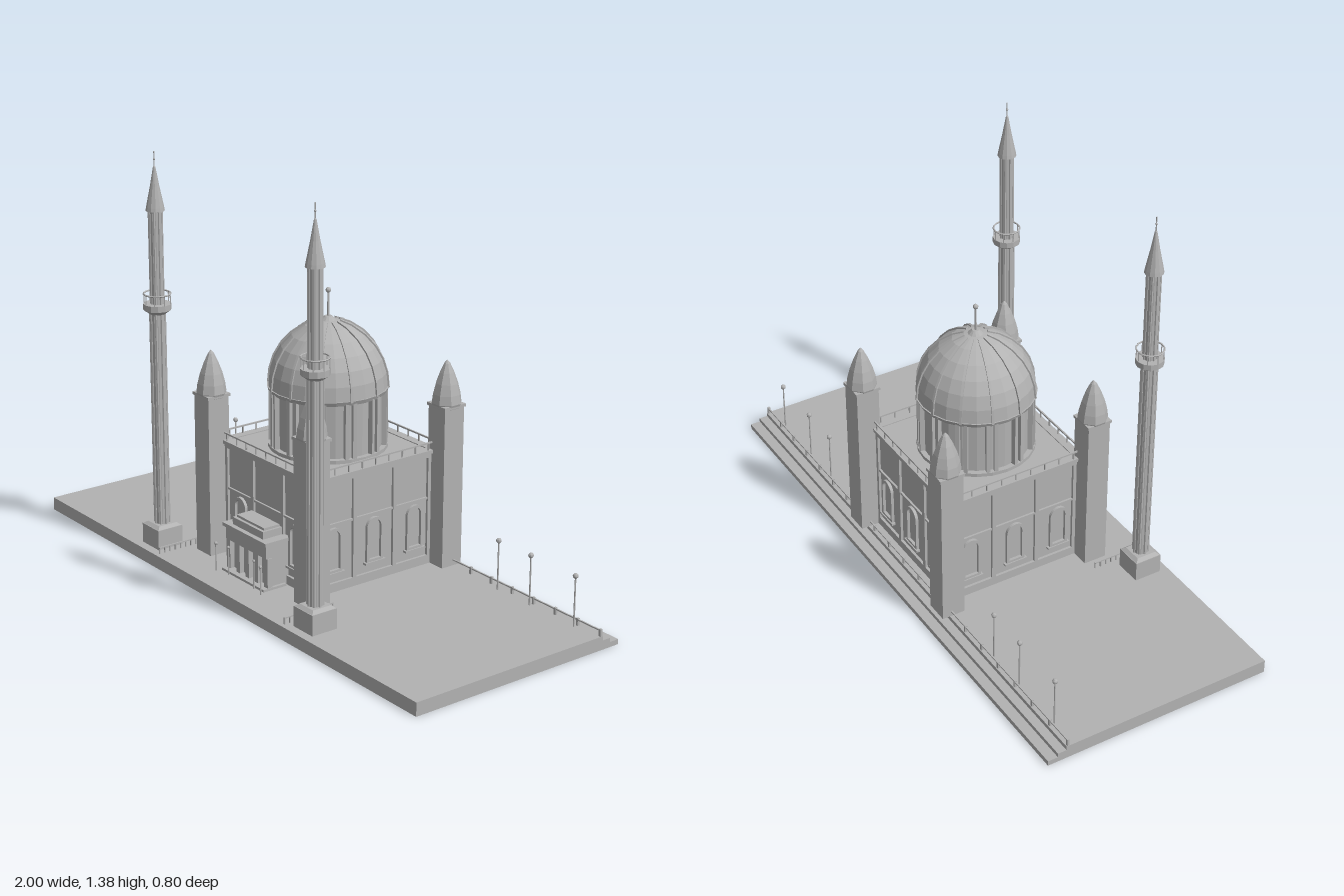
import * as THREE from 'three';

const stone = new THREE.MeshStandardMaterial({ color: 0xb2b2b2, flatShading: true });
stone.name = 'grey stone';

const BASE = 0.045;      // terrace height
const CENTRE_Z = -0.05;  // centre of the prayer hall

function add(parent, name, geometry, x = 0, y = 0, z = 0) {
  const mesh = new THREE.Mesh(geometry, stone);
  mesh.name = name;
  mesh.position.set(x, y, z);
  parent.add(mesh);
  return mesh;
}
// Boxes and cylinders are placed by the centre of their bottom face
function box(parent, name, w, h, d, x, y, z) {
  return add(parent, name, new THREE.BoxGeometry(w, h, d), x, y + h / 2, z);
}
function cyl(parent, name, rTop, rBottom, h, sides, x, y, z) {
  return add(parent, name, new THREE.CylinderGeometry(rTop, rBottom, h, sides), x, y + h / 2, z);
}
function lathe(parent, name, points, sides, x, y, z) {
  const profile = points.map(([r, h]) => new THREE.Vector2(r, h));
  return add(parent, name, new THREE.LatheGeometry(profile, sides), x, y, z);
}
function group(parent, name, x = 0, y = 0, z = 0) {
  const g = new THREE.Group();
  g.name = name;
  g.position.set(x, y, z);
  parent.add(g);
  return g;
}

// Arched outline standing on y = 0
function archPath(path, w, h) {
  const r = w / 2;
  path.moveTo(-r, 0);
  path.lineTo(r, 0);
  path.lineTo(r, h - r);
  path.absarc(0, h - r, r, 0, Math.PI, false);
  path.lineTo(-r, 0);
  return path;
}
function archWindow(parent, x, y, z, w, h) {
  const g = group(parent, 'archedWindow', x, y, z);
  const shape = archPath(new THREE.Shape(), w, h);
  const hole = archPath(new THREE.Path(), w - 0.018, h - 0.017);
  hole.curves.forEach(c => {
    if (c.v1) { c.v1.y += 0.008; c.v2.y += 0.008; } else c.aY += 0.008;
  });
  shape.holes.push(hole);
  add(g, 'windowFrame', new THREE.ExtrudeGeometry(shape, { depth: 0.01, bevelEnabled: false, curveSegments: 8 }));
  box(g, 'windowSill', w + 0.016, 0.007, 0.014, 0, -0.007, 0.007);
}

// One wall face, looking along +z
function facade(parent, angle, isFront) {
  const g = group(parent, 'facade');
  g.rotation.y = angle;
  const z = 0.241;
  for (const x of [-0.225, -0.081, 0.081, 0.225])
    box(g, 'pilaster', 0.014, 0.38, 0.012, x, BASE, z);
  box(g, 'plinthBand', 0.46, 0.03, 0.012, 0, BASE, z);
  box(g, 'middleBand', 0.46, 0.007, 0.008, 0, 0.27, z);
  box(g, 'upperBand', 0.46, 0.014, 0.014, 0, 0.414, z);
  box(g, 'cornice', 0.5, 0.012, 0.03, 0, 0.428, 0.24);
  const side = isFront ? 0.15 : 0.165;
  for (const x of isFront ? [-side, side] : [-side, 0, side])
    archWindow(g, x, 0.112, 0.239, 0.066, 0.15);
  // Roof railing
  box(g, 'roofRail', 0.46, 0.005, 0.005, 0, 0.462, 0.248);
  for (let i = -4; i <= 4; i++) box(g, 'roofRailPost', 0.004, 0.025, 0.004, i * 0.054, 0.438, 0.248);
}

function cornerTower(parent, x, z) {
  const g = group(parent, 'cornerTower', x, 0, z);
  box(g, 'towerShaft', 0.08, 0.55, 0.08, 0, BASE, 0);
  const cap = lathe(g, 'towerCap', [[0, 0.582], [0.045, 0.585], [0.05, 0.6], [0.046, 0.63], [0.037, 0.665],
    [0.024, 0.7], [0.01, 0.73], [0, 0.742]], 8, 0, 0, 0);
  cap.rotation.y = Math.PI / 8;
  box(g, 'towerLedge', 0.088, 0.01, 0.088, 0, 0.587, 0);
}

function dome(parent) {
  const g = group(parent, 'domeAndDrum', 0, 0, CENTRE_Z);
  cyl(g, 'drum', 0.178, 0.178, 0.2, 24, 0, 0.44, 0);
  cyl(g, 'drumFoot', 0.195, 0.195, 0.012, 24, 0, 0.438, 0);
  cyl(g, 'drumRing', 0.198, 0.192, 0.014, 24, 0, 0.63, 0);
  const profile = [[0.194, 0.64], [0.189, 0.69], [0.175, 0.735], [0.152, 0.775], [0.118, 0.812],
    [0.075, 0.842], [0.037, 0.857], [0, 0.863]];
  lathe(g, 'dome', profile, 24, 0, 0, 0);

  // Curved rib following the dome
  const strip = profile.slice(0, 7);
  const outer = strip.map(([r, y]) => new THREE.Vector2(r * 1.02 + 0.001, 0.64 + (y - 0.64) * 1.02));
  const inner = strip.map(([r, y]) => new THREE.Vector2(r * 0.95, 0.64 + (y - 0.64) * 0.95)).reverse();
  const ribGeo = new THREE.ExtrudeGeometry(new THREE.Shape([...outer, ...inner]), { depth: 0.008, bevelEnabled: false });
  ribGeo.translate(0, 0, -0.004);
  for (let i = 0; i < 12; i++) {
    const bay = group(g, 'drumBay');
    bay.rotation.y = (i + 0.5) * Math.PI / 6;
    add(bay, 'domeRib', ribGeo);
    for (const s of [-1, 1]) box(bay, 'drumPilaster', 0.022, 0.19, 0.013, 0.181, 0.445, s * 0.013);
  }
  cyl(g, 'finialFoot', 0.012, 0.026, 0.014, 12, 0, 0.858, 0);
  cyl(g, 'finialPole', 0.003, 0.004, 0.085, 8, 0, 0.868, 0);
  add(g, 'finialBall', new THREE.SphereGeometry(0.009, 10, 8), 0, 0.957, 0);
}

function minaret(parent, x) {
  const g = group(parent, 'minaret', x, 0, 0.322);
  box(g, 'minaretPedestal', 0.095, 0.068, 0.095, 0, BASE, 0);
  const taper = cyl(g, 'pedestalTop', 0.048, 0.066, 0.01, 4, 0, 0.112, 0);
  taper.rotation.y = Math.PI / 4;
  cyl(g, 'minaretShaft', 0.025, 0.025, 0.74, 12, 0, 0.12, 0);
  cyl(g, 'upperShaft', 0.022, 0.022, 0.34, 12, 0, 0.855, 0);
  for (let i = 0; i < 8; i++) {
    const a = i * Math.PI / 4;
    cyl(g, 'shaftRib', 0.005, 0.005, 0.735, 6, 0.0235 * Math.sin(a), 0.12, 0.0235 * Math.cos(a));
    cyl(g, 'upperShaftRib', 0.004, 0.004, 0.33, 6, 0.021 * Math.sin(a), 0.86, 0.021 * Math.cos(a));
    cyl(g, 'balconyPost', 0.002, 0.002, 0.04, 4, 0.043 * Math.sin(a), 0.875, 0.043 * Math.cos(a));
  }
  lathe(g, 'balcony', [[0.025, 0.845], [0.038, 0.855], [0.046, 0.86], [0.046, 0.88], [0.02, 0.88]], 12, 0, 0, 0);
  const rail = add(g, 'balconyRail', new THREE.TorusGeometry(0.044, 0.003, 5, 16), 0, 0.913, 0);
  rail.rotation.x = Math.PI / 2;
  lathe(g, 'spire', [[0, 1.188], [0.031, 1.188], [0.029, 1.2], [0.015, 1.268], [0.004, 1.33], [0, 1.336]], 12, 0, 0, 0);
  cyl(g, 'spireTip', 0.002, 0.002, 0.05, 6, 0, 1.33, 0);
  add(g, 'spireBall', new THREE.SphereGeometry(0.004, 8, 6), 0, 1.355, 0);
}

function lamp(parent, x, z, top, r) {
  const g = group(parent, 'lamp', x, 0, z);
  cyl(g, 'lampPole', 0.0025, 0.003, top - BASE, 6, 0, BASE, 0);
  add(g, 'lampGlobe', new THREE.SphereGeometry(r, 8, 6), 0, top, 0);
}

function porch(parent) {
  const g = group(parent, 'entrancePorch');
  box(g, 'porchHall', 0.21, 0.16, 0.07, 0, BASE, 0.225);
  box(g, 'porchRoof', 0.236, 0.012, 0.1, 0, 0.198, 0.239);
  box(g, 'porchUpperRoof', 0.166, 0.025, 0.075, 0, 0.21, 0.235);
  box(g, 'porchCap', 0.15, 0.008, 0.06, 0, 0.235, 0.232);
  box(g, 'porchLintel', 0.22, 0.045, 0.022, 0, 0.153, 0.269);
  box(g, 'porchStep', 0.23, 0.008, 0.09, 0, BASE, 0.25);
  for (const x of [-0.103, -0.05, 0, 0.05, 0.103])
    box(g, 'porchPillar', 0.02, 0.108, 0.018, x, BASE, 0.268);
  for (const s of [-1, 1]) {
    lamp(g, s * 0.123, 0.312, 0.14, 0.006);
    lamp(g, s * 0.07, 0.3, 0.14, 0.005);
  }
}

export function createModel() {
  const model = new THREE.Group();
  model.name = 'domedHallWithMinarets';

  // Terrace with steps along the back
  box(model, 'terrace', 2, BASE, 0.735, 0, 0, 0.0325);
  box(model, 'upperStep', 2, 0.031, 0.03, 0, 0, -0.35);
  box(model, 'lowerStep', 2, 0.017, 0.035, 0, 0, -0.3825);

  // Prayer hall
  const hall = group(model, 'prayerHall', 0, 0, CENTRE_Z);
  box(hall, 'hallWalls', 0.476, 0.392, 0.476, 0, BASE, 0);
  for (let i = 0; i < 4; i++) facade(hall, i * Math.PI / 2, i === 0);
  for (const x of [-0.27, 0.27]) for (const z of [-0.27, 0.27]) cornerTower(hall, x, z);
  dome(model);
  porch(model);

  // Minarets and side railings
  for (const s of [-1, 1]) {
    minaret(model, s * 0.422);
    const rail = group(model, 'sideRailing', s * 0.347, 0, 0);
    box(rail, 'sideRail', 0.005, 0.004, 0.19, 0, 0.064, 0.29);
    for (let i = 0; i < 10; i++) box(rail, 'sidePost', 0.004, 0.02, 0.004, 0, BASE, 0.197 + i * 0.0207);
  }

  // Back railing and lamp posts
  const rail = group(model, 'backRailing', 0, 0, -0.328);
  box(rail, 'backRail', 1.99, 0.004, 0.005, 0, 0.062, 0);
  for (let i = -10; i <= 10; i++) box(rail, 'backPost', 0.008, 0.024, 0.008, i * 0.0995, BASE, 0);
  for (const x of [0.545, 0.695, 0.895]) for (const s of [-1, 1]) lamp(model, s * x, -0.312, 0.213, 0.009);

  return model;
}
